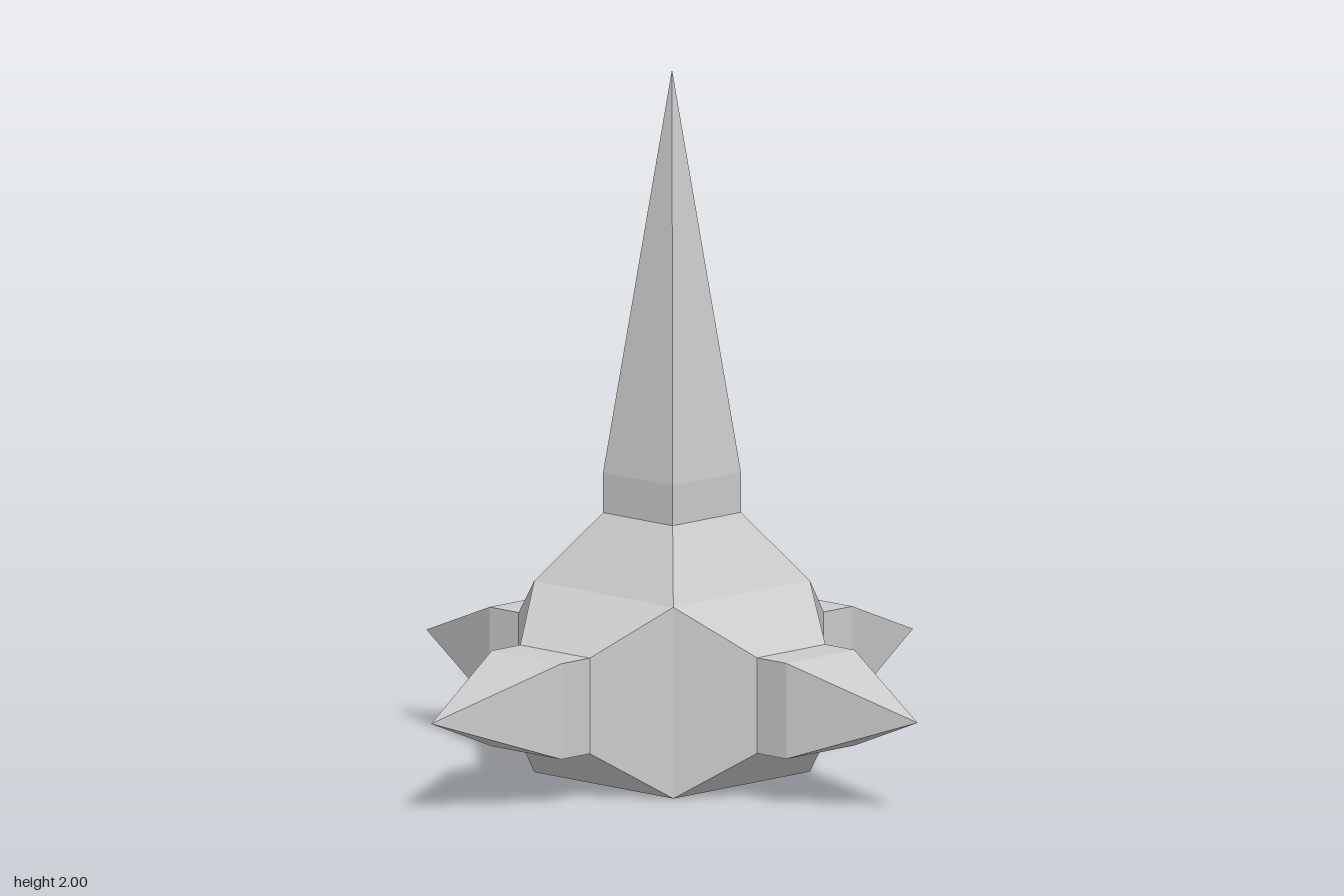
import * as THREE from 'three';

const CORE = 0.272;      // half width of the central cube
const NECK = 0.136;      // half width of each arm
const CENTRE_Y = 0.274;

const material = new THREE.MeshStandardMaterial({ color: 0xcccccc, flatShading: true });

// Square-section arm along +y: tapered shoulder, straight collar, pointed spike
function armGeometry(collarEnd, tip) {
  const profile = [[CORE, CORE], [NECK, 0.466], [NECK, collarEnd], [0, tip]]
    .map(([half, y]) => new THREE.Vector2(half * Math.SQRT2, y));
  return new THREE.LatheGeometry(profile, 4, Math.PI / 4);
}

export function createModel() {
  const group = new THREE.Group();
  group.name = 'spikedStar';

  const add = (name, geometry) => {
    const mesh = new THREE.Mesh(geometry, material);
    mesh.name = name;
    mesh.position.y = CENTRE_Y;
    group.add(mesh);
    return mesh;
  };

  // Tall central spire
  add('topSpire', armGeometry(0.58, 2 - CENTRE_Y));

  // Four equal side spikes
  ['frontSpike', 'leftSpike', 'backSpike', 'rightSpike'].forEach((name, i) => {
    const geometry = armGeometry(0.58, 0.96);
    geometry.rotateX(Math.PI / 2);
    geometry.rotateY(i * Math.PI / 2);
    add(name, geometry);
  });

  // Flat underside closing the core
  const base = new THREE.PlaneGeometry(CORE * 2, CORE * 2);
  base.rotateX(Math.PI / 2);
  add('base', base).position.y = CENTRE_Y - CORE;

  // Rest the base on the ground
  group.children.forEach((part) => { part.position.y -= CENTRE_Y - CORE; });
  return group;
}
